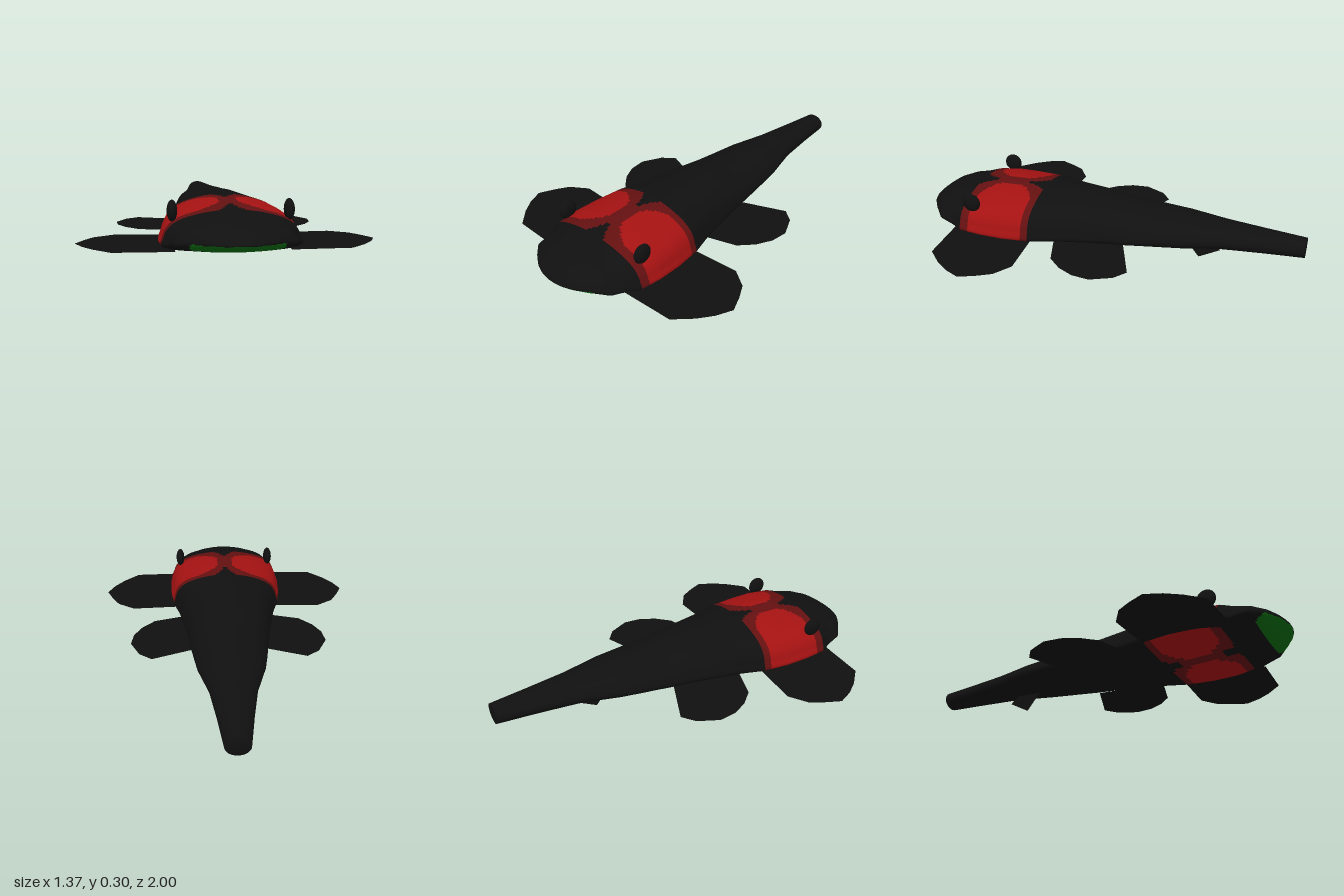
import * as THREE from 'three';

const mat = (name, color, side = THREE.FrontSide) => {
  const m = new THREE.MeshStandardMaterial({ color, side });
  m.name = name;
  return m;
};

// Body stations from tail to nose: z, half width, bottom, top, roundness
const STATIONS = [
  [-1.0, 0.058, 0.108, 0.203, 1], [-0.8, 0.083, 0.103, 0.213, 1],
  [-0.6, 0.112, 0.099, 0.225, 0.9], [-0.4, 0.165, 0.092, 0.24, 0.7],
  [-0.3, 0.18, 0.088, 0.246, 0.6], [-0.13, 0.203, 0.083, 0.257, 0.4],
  [0.0, 0.22, 0.08, 0.272, 0.3], [0.24, 0.26, 0.076, 0.282, 0.1],
  [0.36, 0.292, 0.075, 0.285, 0], [0.5, 0.31, 0.075, 0.283, 0],
  [0.62, 0.315, 0.08, 0.278, 0], [0.74, 0.307, 0.087, 0.26, 0],
  [0.79, 0.28, 0.09, 0.247, 0.1], [0.87, 0.262, 0.1, 0.228, 0.4],
  [0.93, 0.19, 0.112, 0.208, 0.7], [0.97, 0.13, 0.13, 0.178, 0.9],
  [0.99, 0.08, 0.14, 0.162, 1], [1.0, 0.03, 0.148, 0.153, 1],
];

// Half cross-section from the spine to the belly, as fractions of width and height
const SECTION = new THREE.CatmullRomCurve3([
  [0, 1], [0.2, 0.985], [0.45, 0.92], [0.7, 0.8], [0.85, 0.66], [0.93, 0.5],
  [0.97, 0.32], [1, 0.13], [0.9, 0.05], [0.5, 0.015], [0, 0],
].map(([x, y]) => new THREE.Vector3(x, y, 0)));

function station(z) {
  let i = 0;
  while (i < STATIONS.length - 2 && STATIONS[i + 1][0] < z) i++;
  const a = STATIONS[i], b = STATIONS[i + 1];
  const f = (z - a[0]) / (b[0] - a[0]);
  return a.map((v, k) => v + (b[k] - v) * f);
}

// Paint rule: 0 black, 1 dark red border, 2 red patch, 3 green mouth
function paint(x, y, z) {
  const ax = Math.abs(x);
  const inner = Math.abs(z - 0.545) / 0.145, outer = Math.abs(z - 0.55) / 0.185;
  if (inner < 1 && ax > 0.04 + 0.11 * inner ** 3) return 2;
  if (outer < 1 && ax > -0.01 + 0.07 * outer ** 2) return 1;
  if (z > 0.88 && y < 0.147 && ax < 0.195) return 3;
  return 0;
}

function bodyGeometry() {
  const rings = 220, half = 44, n = half * 2;
  const pos = [];
  for (let i = -1; i <= rings + 1; i++) {
    const z = -1 + 2 * Math.min(Math.max(i / rings, 0), 1);
    const [, w, lo, hi, round] = station(z);
    const closed = i < 0 || i > rings; // collapsed end rings close the body
    for (let j = 0; j < n; j++) {
      const t = (j <= half ? j : n - j) / half;
      const p = SECTION.getPoint(t);
      const angle = Math.PI * t ** 1.94;
      const u = THREE.MathUtils.lerp(p.x, Math.sin(angle), round);
      const v = THREE.MathUtils.lerp(p.y, 0.5 + 0.5 * Math.cos(angle), round);
      if (closed) pos.push(0, (lo + hi) / 2, z);
      else pos.push((j <= half ? 1 : -1) * u * w, lo + v * (hi - lo), z);
    }
  }
  const faces = [[], [], [], []];
  for (let i = 0; i < rings + 2; i++) {
    for (let j = 0; j < n; j++) {
      const a = i * n + j, b = i * n + (j + 1) % n, c = a + n, d = b + n;
      const mid = k => (pos[a * 3 + k] + pos[b * 3 + k] + pos[c * 3 + k] + pos[d * 3 + k]) / 4;
      faces[paint(mid(0), mid(1), mid(2))].push(a, c, b, b, c, d);
    }
  }
  const g = new THREE.BufferGeometry();
  g.setAttribute('position', new THREE.Float32BufferAttribute(pos, 3));
  g.setIndex(faces.flat());
  let start = 0;
  faces.forEach((f, k) => {
    g.addGroup(start, f.length, k);
    start += f.length;
  });
  g.computeVertexNormals();
  return g;
}

export function createModel() {
  const model = new THREE.Group();
  const black = mat('black', 0x101010, THREE.DoubleSide);
  const darkRed = mat('darkRed', 0x641010);
  const red = mat('red', 0xa51212);
  const green = mat('green', 0x0a6a0f);

  const add = (name, geometry, material) => {
    const m = new THREE.Mesh(geometry, material);
    m.name = name;
    model.add(m);
    return m;
  };
  const outline = pts => new THREE.ShapeGeometry(
    new THREE.Shape(pts.map(p => new THREE.Vector2(...p))));

  add('body', bodyGeometry(), [black, darkRed, red, green]);

  // Flat paired fins, outlined in x and z
  const frontFin = [[0.25, 0.355], [0.52, 0.34], [0.61, 0.4], [0.65, 0.47], [0.685, 0.55],
    [0.65, 0.63], [0.6, 0.7], [0.52, 0.78], [0.25, 0.79]];
  const rearFin = [[0.16, -0.11], [0.395, -0.205], [0.46, -0.155], [0.51, -0.05],
    [0.5, 0.04], [0.46, 0.12], [0.395, 0.19], [0.2, 0.25]];
  for (const [side, s] of [['left', 1], ['right', -1]]) {
    for (const [kind, pts] of [['FrontFin', frontFin], ['RearFin', rearFin]]) {
      // Rotation lays the outline flat with its y running along -z
      const g = outline(pts.map(([x, z]) => [s * x, -z]));
      g.rotateX(-Math.PI / 2);
      add(side + kind, g, black).position.y = 0.092;
    }
    // Eyes standing on the edges of the head
    const eye = add(side + 'Eye', new THREE.SphereGeometry(1, 20, 14), black);
    eye.scale.set(0.023, 0.048, 0.048);
    eye.position.set(s * 0.258, 0.252, 0.68);
  }

  // Small upright fin under the tail, outlined in z and y
  const belly = outline([[-0.38, 0.11], [-0.47, 0], [-0.58, 0.06], [-0.52, 0.11]]);
  belly.rotateY(-Math.PI / 2);
  add('bellyFin', belly, black);

  return model;
}
